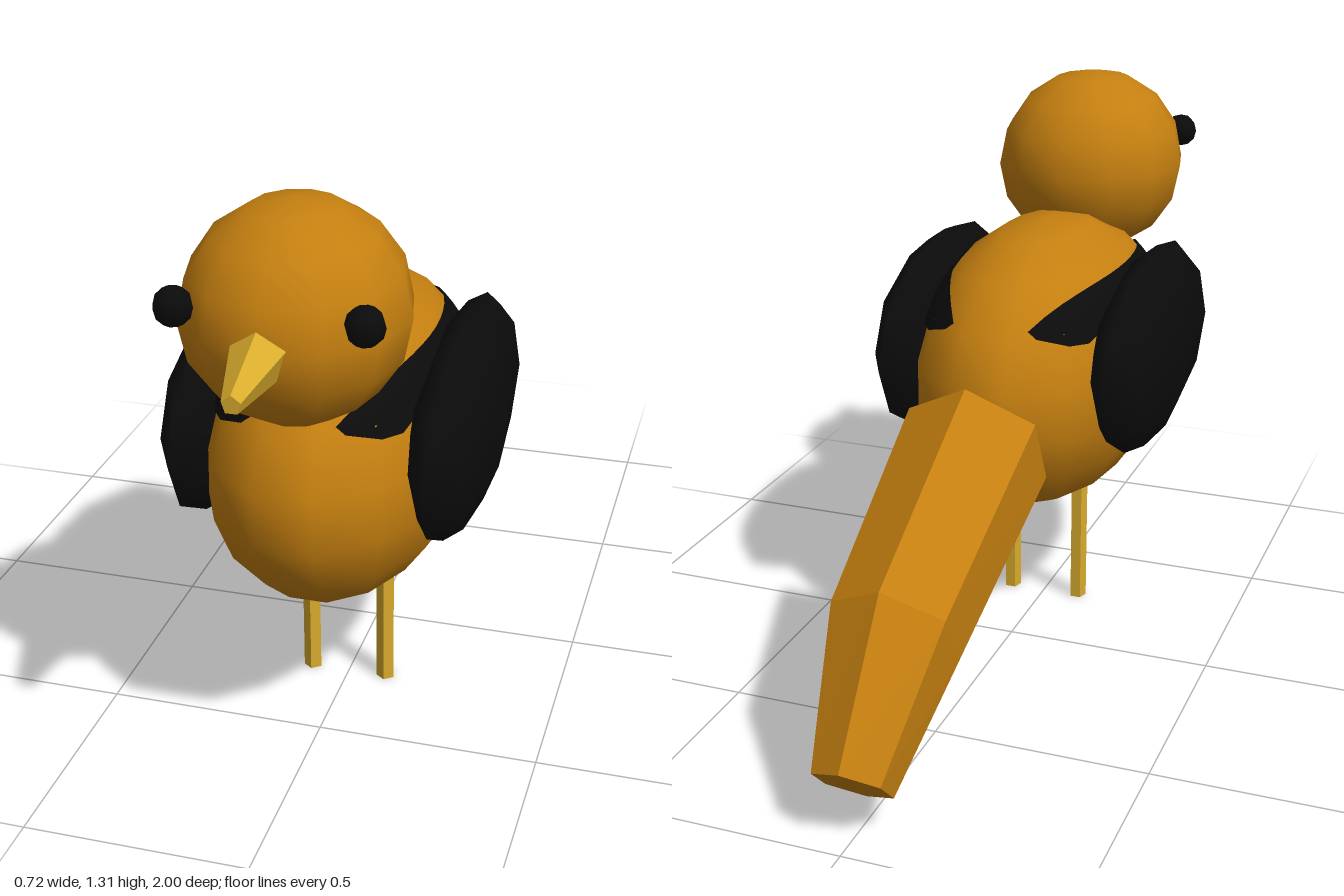
import * as THREE from 'three';

const material = (name, color, extra = {}) => {
  const m = new THREE.MeshStandardMaterial({ color, ...extra });
  m.name = name;
  return m;
};

export function createModel() {
  const bird = new THREE.Group();
  bird.name = 'bird';
  const orange = material('orange plumage', 0xc47f10);
  const orangeFlat = orange.clone();
  orangeFlat.flatShading = true;
  const yellow = material('yellow horn', 0xd8ab2c, { flatShading: true });
  const black = material('black feathers', 0x0b0b0b, { side: THREE.DoubleSide });

  const add = (name, geometry, mat, x = 0, y = 0, z = 0) => {
    const mesh = new THREE.Mesh(geometry, mat);
    mesh.name = name;
    mesh.position.set(x, y, z);
    bird.add(mesh);
    return mesh;
  };
  const ellipsoid = (rx, ry, rz, w, h) => new THREE.SphereGeometry(1, w, h).scale(rx, ry, rz);

  // Closed loft of n-sided rings, listed front to back as [centreY, centreZ, upY, upZ]
  const loft = (sections, n) => {
    const pos = [];
    const point = (s, k) => {
      const a = (k / n) * Math.PI * 2;
      const [cy, cz, uy, uz] = s;
      return [Math.hypot(uy, uz) * Math.sin(a), cy + uy * Math.cos(a), cz + uz * Math.cos(a)];
    };
    const tri = (a, b, c) => pos.push(...a, ...b, ...c);
    for (let i = 0; i < sections.length - 1; i++) {
      for (let k = 0; k < n; k++) {
        const [p, q] = [sections[i], sections[i + 1]];
        tri(point(p, k), point(p, k + 1), point(q, k + 1));
        tri(point(p, k), point(q, k + 1), point(q, k));
      }
    }
    const first = sections[0], last = sections[sections.length - 1];
    for (let k = 1; k < n - 1; k++) {
      tri(point(first, 0), point(first, k + 1), point(first, k));
      tri(point(last, 0), point(last, k), point(last, k + 1));
    }
    const g = new THREE.BufferGeometry();
    g.setAttribute('position', new THREE.Float32BufferAttribute(pos, 3));
    g.computeVertexNormals();
    return g;
  };

  // Body and head
  const B = { y: 0.655, z: 0.255, rx: 0.294, ry: 0.355, rz: 0.505 };
  add('body', ellipsoid(B.rx, B.ry, B.rz, 14, 9), orange, 0, B.y, B.z);
  add('head', ellipsoid(0.237, 0.232, 0.26, 12, 8), orange, 0, 1.078, 0.605);

  // Beak and bent tail
  add('beak', loft([[1.045, 1.0, 0.02, 0], [1.078, 0.82, 0.064, 0]], 5), yellow);
  add('tail', loft([
    [0.5975, -0.2225, 0.1575, -0.0775],
    [0.36, -0.7, 0.125, -0.08],
    [0.1225, -0.9325, 0.0625, -0.0625],
  ], 6), orangeFlat);

  // Dark shoulder band lying on the body above each wing
  const shoulderBand = (side) => {
    const pos = [], index = [], rows = 16, cols = 4;
    for (let i = 0; i <= rows; i++) {
      const u = (i / rows) * 2 - 1;
      const z = u * 0.395;
      const inner = 0.2 - 0.11 * u * u;
      const outer = 0.225 - 0.115 * Math.pow(u, 6);
      for (let j = 0; j <= cols; j++) {
        const x = inner + (outer - inner) * (j / cols);
        const h = Math.sqrt(Math.max(0, 1 - (x / B.rx) ** 2 - (z / B.rz) ** 2));
        pos.push(side * x, B.y + B.ry * h, B.z + z);
        if (i < rows && j < cols) {
          const a = i * (cols + 1) + j, b = a + 1, c = a + cols + 1, d = c + 1;
          if (side > 0) index.push(a, c, b, b, c, d);
          else index.push(a, b, c, b, d, c);
        }
      }
    }
    const g = new THREE.BufferGeometry();
    g.setAttribute('position', new THREE.Float32BufferAttribute(pos, 3));
    g.setIndex(index);
    g.computeVertexNormals();
    return g;
  };

  // Paired parts
  for (const [label, s] of [['left', 1], ['right', -1]]) {
    add(`${label}Wing`, ellipsoid(0.09, 0.24, 0.415, 8, 6), black, s * 0.27, 0.715, 0.25);
    add(`${label}ShoulderBand`, shoulderBand(s), black);
    add(`${label}Eye`, ellipsoid(0.041, 0.041, 0.041, 8, 6), black, s * 0.19, 1.132, 0.785);
    add(`${label}Leg`, new THREE.CylinderGeometry(0.022, 0.022, 0.4, 5), yellow, s * 0.09, 0.2, 0.255);
  }
  return bird;
}
